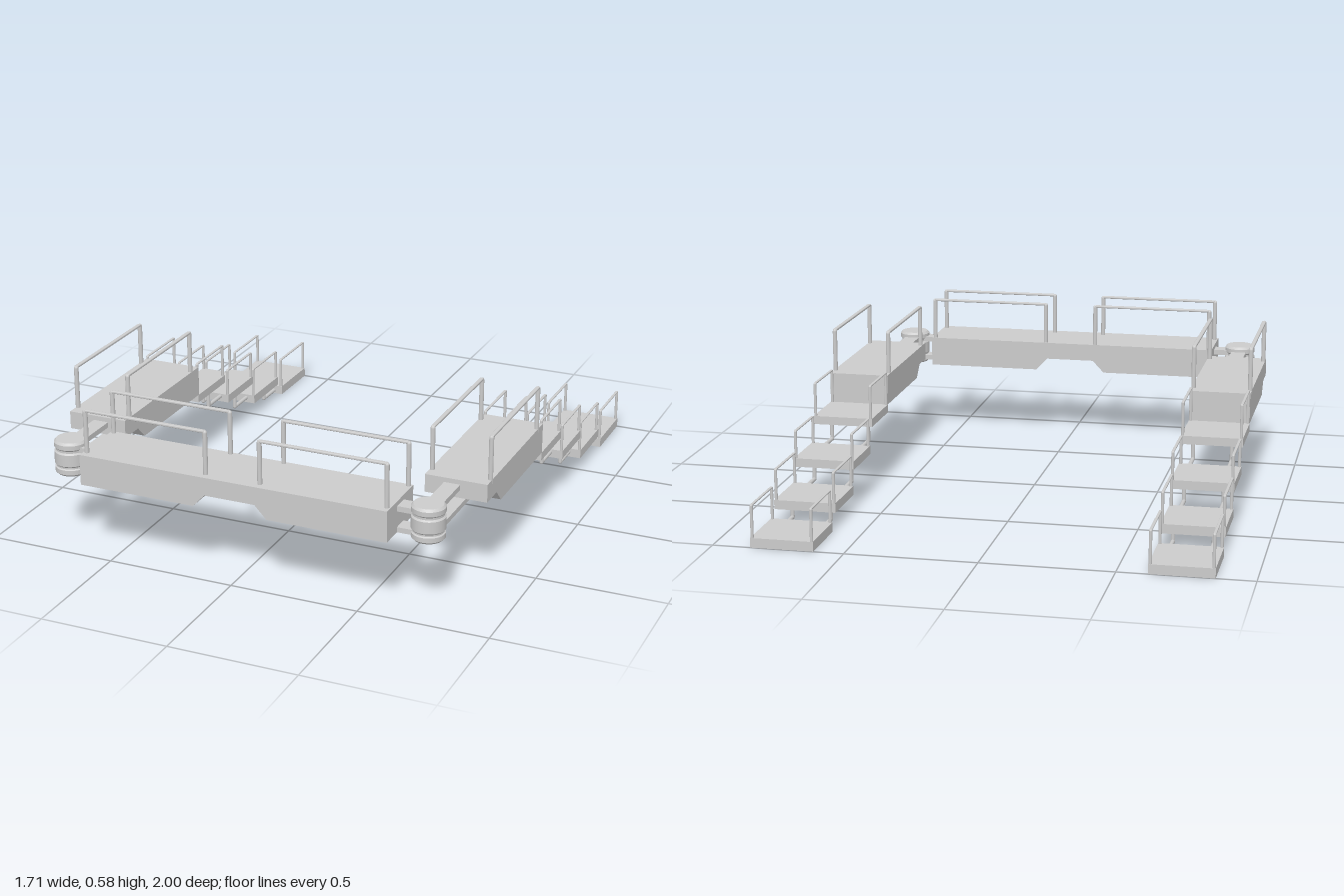
import * as THREE from 'three';
import { RoundedBoxGeometry } from 'three/addons/geometries/RoundedBoxGeometry.js';

const material = new THREE.MeshStandardMaterial({ color: 0xcccccc, side: THREE.DoubleSide });
const V = (x, y, z) => new THREE.Vector3(x, y, z);

function add(parent, name, geometry, x = 0, y = 0, z = 0) {
  const mesh = new THREE.Mesh(geometry, material);
  mesh.name = name;
  mesh.position.set(x, y, z);
  parent.add(mesh);
  return mesh;
}

// Box given by its lower and upper corners
function block(parent, name, x0, x1, y0, y1, z0, z1) {
  return add(parent, name, new THREE.BoxGeometry(Math.abs(x1 - x0), y1 - y0, z1 - z0),
    (x0 + x1) / 2, (y0 + y1) / 2, (z0 + z1) / 2);
}

function prism(points, depth) {
  const shape = new THREE.Shape(points.map(([a, b]) => new THREE.Vector2(a, b)));
  return new THREE.ExtrudeGeometry(shape, { depth, bevelEnabled: false });
}

function rod(parent, name, a, b, r) {
  const mesh = add(parent, name, new THREE.CylinderGeometry(r, r, a.distanceTo(b), 12));
  mesh.position.copy(a).add(b).multiplyScalar(0.5);
  mesh.quaternion.setFromUnitVectors(V(0, 1, 0), b.clone().sub(a).normalize());
}

// Hoop-shaped handrail between two foot points: round posts and a flatter top bar
function handrail(parent, name, a, b, top, r, barHeight) {
  const rail = new THREE.Group();
  rail.name = name;
  for (const foot of [a, b]) {
    rod(rail, 'railPost', foot, V(foot.x, top - barHeight, foot.z), r);
    const cap = add(rail, 'railCorner', new THREE.SphereGeometry(r, 12, 8), foot.x, top - barHeight, foot.z);
    cap.scale.y = barHeight / r;
  }
  const length = a.distanceTo(b);
  const alongX = Math.abs(a.x - b.x) > 0.01;
  const geometry = new RoundedBoxGeometry(alongX ? length : r * 1.8, barHeight, alongX ? r * 1.8 : length, 2, barHeight * 0.35);
  add(rail, 'topBar', geometry, (a.x + b.x) / 2, top - barHeight / 2, (a.z + b.z) / 2);
  parent.add(rail);
}

// Flanged hinge drum
function hingeGeometry() {
  const profile = [[0, 0.282], [0.054, 0.282], [0.062, 0.29], [0.062, 0.308], [0.057, 0.312],
    [0.057, 0.318], [0.063, 0.324], [0.063, 0.37], [0.057, 0.376], [0.057, 0.384],
    [0.063, 0.39], [0.063, 0.408], [0.055, 0.417], [0, 0.417]];
  // Separate bands keep the rims crisp
  const bands = [];
  for (let i = 0; i + 1 < profile.length; i++) {
    bands.push(new THREE.LatheGeometry(profile.slice(i, i + 2).map(([r, y]) => new THREE.Vector2(r, y)), 32));
  }
  return bands;
}

// Each tread: z front, z back, bottom, top, rail height
const STEPS = [
  [0.04, -0.2, 0.262, 0.295, 0.43],
  [-0.23, -0.465, 0.16, 0.194, 0.305],
  [-0.475, -0.715, 0.064, 0.1, 0.222],
  [-0.755, -1.0, 0.003, 0.04, 0.167],
];
// Each link: z of its drop, y where it starts, y of its horizontal run
const LINKS = [[0.143, 0.3, 0.275], [-0.12, 0.27, 0.183], [-0.365, 0.17, 0.085], [-0.65, 0.07, 0.016]];

function createWing(s) {
  const wing = new THREE.Group();
  wing.name = s > 0 ? 'leftWing' : 'rightWing';

  // Platform with a stepped underside at the hinge end
  const profile = [[0.035, 0.295], [0.5, 0.295], [0.55, 0.345], [0.65, 0.345], [0.65, 0.415], [0.035, 0.415]];
  const deck = add(wing, 'wingPlatform', prism(profile, 0.24), s * 0.735 + 0.12);
  deck.rotation.y = -Math.PI / 2;
  for (const x of [0.624, 0.848]) {
    handrail(wing, 'wingRail', V(s * x, 0.4, 0.6), V(s * x, 0.4, 0.09), 0.587, 0.009, 0.01);
  }

  // Hinge drum and its paired arms
  const hinge = new THREE.Group();
  hinge.name = 'hinge';
  hinge.position.set(s * 0.72, 0, 0.878);
  hingeGeometry().forEach((band) => add(hinge, 'hingeBand', band));
  wing.add(hinge);
  for (const [y0, y1, end] of [[0.376, 0.397, 0.64], [0.295, 0.315, 0.49]]) {
    block(wing, 'wingArm', s * 0.689, s * 0.751, y0, y1, end, 0.878);
    block(wing, 'bridgeArm', s * 0.6, s * 0.72, y0, y1, 0.846, 0.907);
  }

  // Descending treads with handrails and bent links
  STEPS.forEach(([front, back, bottom, top, railTop], i) => {
    block(wing, 'tread', s * 0.615, s * 0.855, bottom, top, back, front);
    for (const x of [0.622, 0.848]) {
      handrail(wing, 'treadRail', V(s * x, top - 0.01, front - 0.006), V(s * x, top - 0.01, back + 0.006), railTop, 0.006, 0.006);
    }
    const [z, start, y] = LINKS[i];
    for (const x of [0.654, 0.805]) {
      rod(wing, 'linkDrop', V(s * x, start, z), V(s * x, y, z), 0.008);
      add(wing, 'linkElbow', new THREE.SphereGeometry(0.008, 12, 8), s * x, y, z);
      rod(wing, 'linkRun', V(s * x, y, z), V(s * x, y, front - 0.02), 0.008);
    }
  });
  return wing;
}

export function createModel() {
  const model = new THREE.Group();
  model.name = 'walkway';

  // Front bridge in two halves, raised underneath at the middle
  for (const s of [-1, 1]) {
    const profile = [[0, 0.345], [0.1, 0.345], [0.147, 0.295], [0.612, 0.295], [0.612, 0.415], [0, 0.415]];
    const half = profile.map(([x, y]) => [s * x, y]);
    add(model, 'bridgeHalf', prism(half, 0.245), 0, 0, 0.755);
    for (const z of [0.766, 0.968]) {
      handrail(model, 'bridgeRail', V(s * 0.108, 0.4, z), V(s * 0.598, 0.4, z), 0.587, 0.009, 0.01);
    }
    model.add(createWing(s));
  }
  return model;
}
